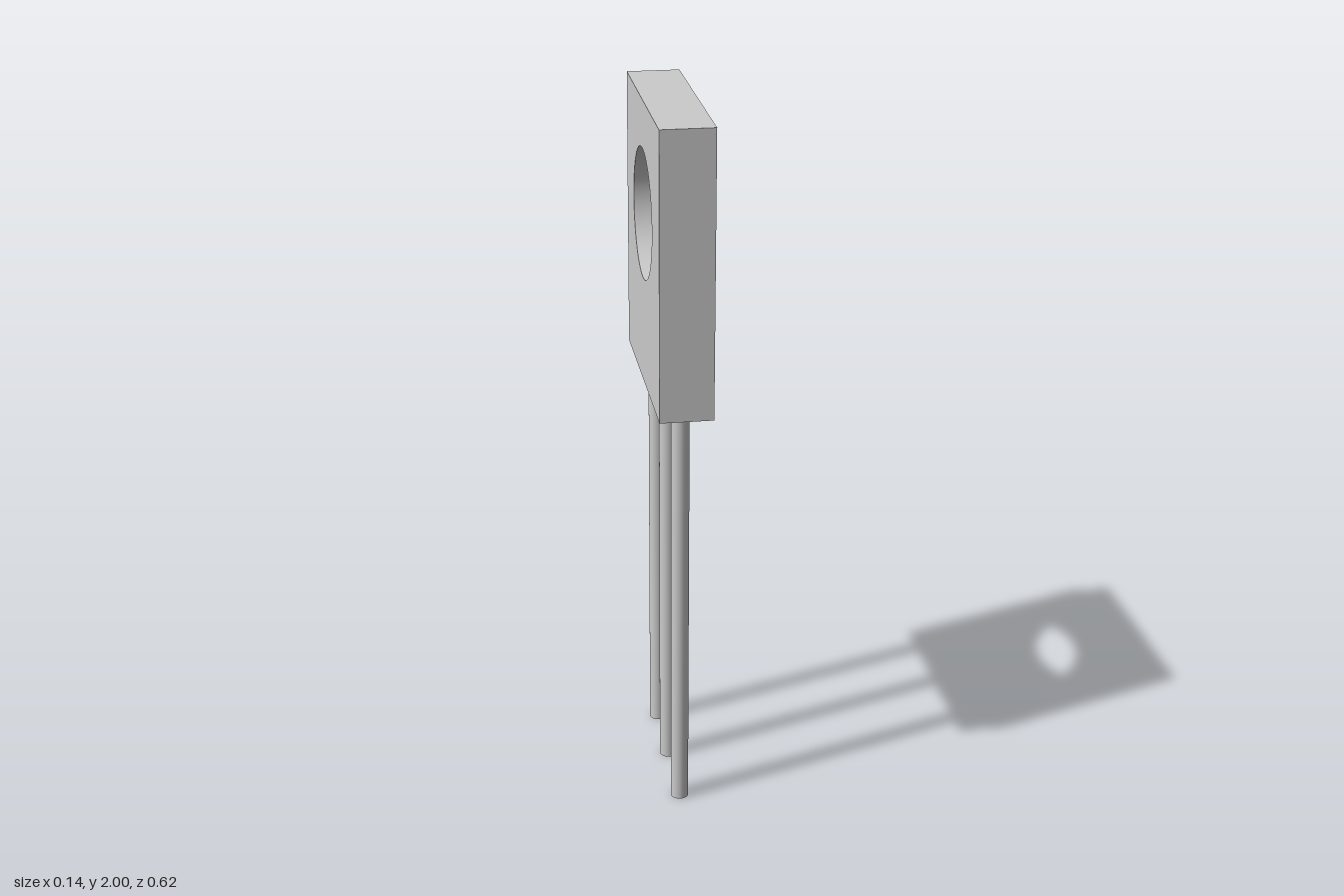
import * as THREE from 'three';
import { toCreasedNormals } from 'three/addons/utils/BufferGeometryUtils.js';

export function createModel() {
  const group = new THREE.Group();
  const material = new THREE.MeshStandardMaterial({ color: 0xcccccc });
  const bottom = 1.217, top = 2, halfWidth = 0.31, thickness = 0.145;

  // Flat package with a round mounting hole, facing along x
  const outline = new THREE.Shape([
    new THREE.Vector2(-halfWidth, bottom),
    new THREE.Vector2(halfWidth, bottom),
    new THREE.Vector2(halfWidth, top),
    new THREE.Vector2(-halfWidth, top),
  ]);
  outline.holes.push(new THREE.Path().absarc(0, 1.692, 0.178, 0, Math.PI * 2, true));
  const bodyGeometry = new THREE.ExtrudeGeometry(outline, {
    depth: thickness, bevelEnabled: false, curveSegments: 32,
  });
  bodyGeometry.translate(0, 0, -thickness / 2).rotateY(Math.PI / 2);
  const body = new THREE.Mesh(toCreasedNormals(bodyGeometry, Math.PI / 6), material);
  body.name = 'body';
  group.add(body);

  // Three round leads, set slightly off the centre of the package
  const leadGeometry = new THREE.CylinderGeometry(0.025, 0.025, bottom, 24);
  const leads = new THREE.Group();
  leads.name = 'leads';
  for (const [name, z] of [['frontLead', 0.208], ['middleLead', -0.017], ['backLead', -0.231]]) {
    const lead = new THREE.Mesh(leadGeometry, material);
    lead.name = name;
    lead.position.set(-0.002, bottom / 2, z);
    leads.add(lead);
  }
  group.add(leads);

  return group;
}
